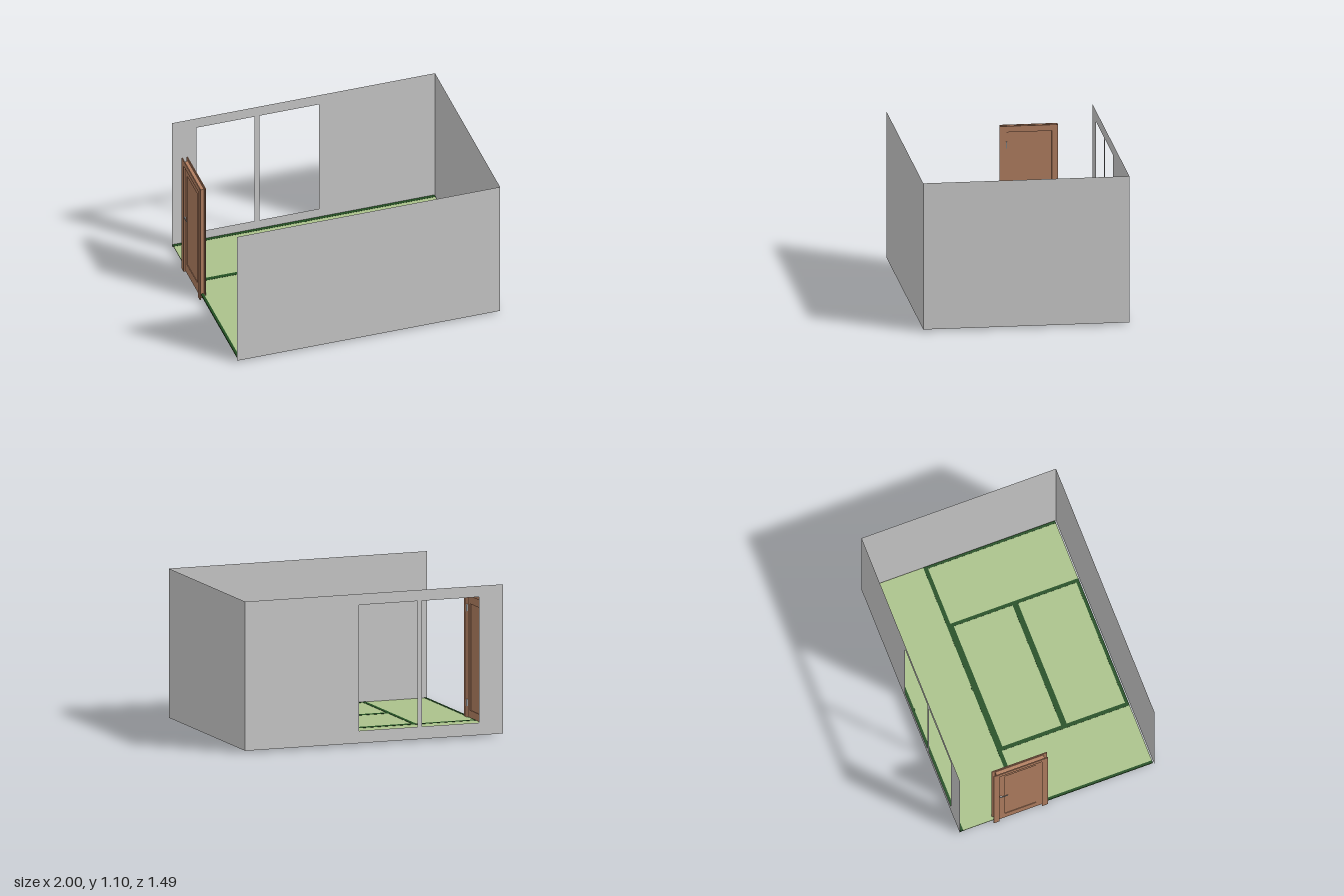
import * as THREE from 'three';

const mat = (name, color, side = THREE.FrontSide) => {
  const m = new THREE.MeshStandardMaterial({ color, side });
  m.name = name;
  return m;
};

export function createModel() {
  const model = new THREE.Group();
  model.name = 'matRoom';
  const wallGrey = mat('wallGrey', 0xcccccc, THREE.DoubleSide);
  const straw = mat('strawGreen', 0xabc28b);
  const edging = mat('edgingGreen', 0x234f22);
  const wood = mat('doorBrown', 0xb27f61);
  const metal = mat('metalGrey', 0xc8c8c8);

  const group = (name) => {
    const g = new THREE.Group();
    g.name = name;
    model.add(g);
    return g;
  };
  // Box given by its extents on each axis
  const box = (parent, name, material, [x0, x1], [y0, y1], [z0, z1]) => {
    const mesh = new THREE.Mesh(new THREE.BoxGeometry(x1 - x0, y1 - y0, z1 - z0), material);
    mesh.position.set((x0 + x1) / 2, (y0 + y1) / 2, (z0 + z1) / 2);
    mesh.name = name;
    parent.add(mesh);
    return mesh;
  };
  const rect = (Type, x0, x1, y0, y1) => new Type([
    new THREE.Vector2(x0, y0), new THREE.Vector2(x1, y0),
    new THREE.Vector2(x1, y1), new THREE.Vector2(x0, y1)]);

  // Three single-sheet walls; the side at -x stays open
  const X0 = -0.99, X1 = 0.995, Y0 = 0.015, Y1 = 1.1, Z = 0.745;
  const walls = group('walls');
  const wall = (name, shape) => {
    const mesh = new THREE.Mesh(new THREE.ShapeGeometry(shape), wallGrey);
    mesh.name = name;
    walls.add(mesh);
    return mesh;
  };
  wall('frontWall', rect(THREE.Shape, X0, X1, Y0, Y1)).position.z = Z;
  const side = wall('leftWall', rect(THREE.Shape, -Z, Z, Y0, Y1));
  side.rotation.y = Math.PI / 2;
  side.position.x = X1;
  const backShape = rect(THREE.Shape, X0, X1, Y0, Y1);
  for (const [a, b] of [[-0.805, -0.368], [-0.33, 0.12]]) {
    backShape.holes.push(rect(THREE.Path, a, b, 0.105, 1.02));
  }
  wall('backWallWithWindows', backShape).position.z = -Z;

  // Floor mats
  const floor = group('floorMats');
  const matY = [0.028, 0.036], edgeY = [0.0265, 0.0375];
  const mats = [
    [[-0.985, 0], [-0.74, -0.26]], [[0, 0.99], [-0.74, -0.26]],
    [[-0.985, -0.5], [-0.26, 0.735]], [[0.507, 0.99], [-0.26, 0.735]],
    [[-0.5, 0.507], [-0.26, 0.243]], [[-0.5, 0.507], [0.243, 0.735]],
  ];
  for (const [x, z] of mats) box(floor, 'mat', straw, x, matY, z);

  // Cloth edging along the mats
  const edges = [
    [[-0.985, 0.99], [-0.742, -0.718]], [[-0.985, 0.99], [-0.275, -0.245]],
    [[-0.985, -0.966], [-0.245, 0.735]], [[0.97, 0.99], [-0.245, 0.735]],
    [[-0.516, -0.487], [-0.245, 0.735]], [[0.494, 0.52], [-0.245, 0.735]],
    [[-0.487, 0.494], [-0.245, -0.229]], [[-0.487, 0.494], [0.222, 0.264]],
    [[-0.487, 0.494], [0.711, 0.735]],
    [[-0.005, 0.013], [-0.718, -0.713]], [[-0.005, 0.013], [-0.281, -0.275]],
  ];
  for (const [x, z] of edges) box(floor, 'matEdging', edging, x, edgeY, z);

  // Door casing: trim on both faces, jambs and head between
  const door = group('door');
  const zA = -0.49, zB = -0.068;
  for (const [x, inset] of [[[-1, -0.993], 0.006], [[-0.962, -0.955], 0]]) {
    box(door, 'sideTrim', wood, x, [0, 0.97], [zA, zA + 0.045]);
    box(door, 'sideTrim', wood, x, [0, 0.97], [zB - 0.045 - inset, zB - inset]);
    box(door, 'headTrim', wood, x, [0.925, 0.97], [zA + 0.045, zB - 0.045 - inset]);
  }
  const gap = [-0.993, -0.962];
  box(door, 'jamb', wood, gap, [0, 0.95], [-0.465, -0.445]);
  box(door, 'jamb', wood, gap, [0, 0.95], [-0.117, -0.095]);
  box(door, 'doorHead', wood, gap, [0.925, 0.95], [-0.445, -0.117]);

  // Leaf: thin core with raised stiles and rails around the panel
  box(door, 'leafPanel', wood, [-0.985, -0.972], [0.012, 0.925], [-0.445, -0.117]);
  const leaf = [-0.989, -0.967];
  for (const z of [[-0.445, -0.4], [-0.162, -0.117]]) {
    box(door, 'stile', wood, leaf, [0.012, 0.925], z);
  }
  for (const y of [[0.012, 0.09], [0.865, 0.925]]) {
    box(door, 'rail', wood, leaf, y, [-0.4, -0.162]);
  }

  // Lever handles on both faces and hinges on the far edge
  for (const [xa, xb] of [[-0.968, -0.952], [-0.998, -0.988]]) {
    box(door, 'handleStem', metal, [xa, xb], [0.475, 0.487], [-0.438, -0.426]);
  }
  box(door, 'handleLever', metal, [-0.955, -0.949], [0.477, 0.485], [-0.438, -0.38]);
  box(door, 'handleLever', metal, [-1, -0.996], [0.477, 0.485], [-0.438, -0.38]);
  for (const y of [0.14, 0.83]) {
    box(door, 'hinge', metal, [-0.968, -0.953], [y - 0.025, y + 0.025], [-0.122, -0.112]);
  }
  return model;
}
